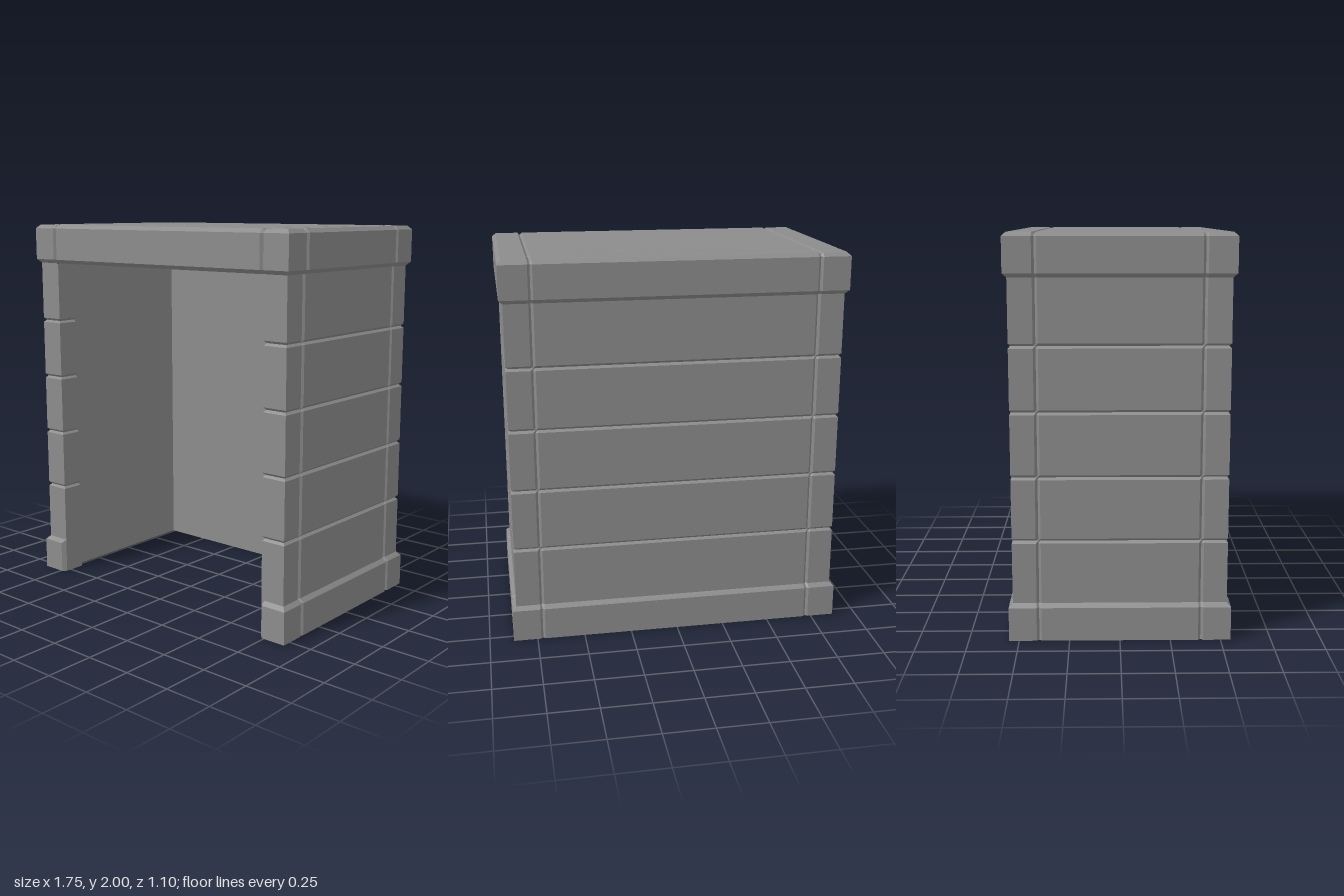
import * as THREE from 'three';

const HX = 0.855, HZ = 0.53;       // half size of the wall body
const GX = 0.72, GZ = 0.4;         // joint positions; GX is also the inner side of the front posts
const IX = 0.76, IZ = -0.435;      // inner faces of the side walls and the back wall
const G = 0.012;                   // joint depth and half width
const LIP = 0.02;                  // overhang of plinth and roof
const EAVE = 1.79, CEILING = 1.88, TOP = 2;

// Full outline with V joints, pushed out by o; starts on the front, runs anticlockwise.
// With a drop, the joints are cut downwards instead of inwards.
function outline(o, y, drop = 0) {
  const n = drop ? o : Math.max(o - G, -G);
  const run = (g) => [[-g - G, o], [-g, n], [-g + G, o], [g - G, o], [g, n], [g + G, o]];
  const yOf = (i) => (i === 1 || i === 4 ? y - drop : y);
  const half = [
    ...run(GX).map(([x, d], i) => [x, yOf(i), HZ + d]),
    [HX + o, y, HZ + o],
    ...run(GZ).map(([z, d], i) => [HX + d, yOf(i), -z]),
    [HX + o, y, -HZ - o],
  ];
  return [...half, ...half.map(([x, yy, z]) => [-x, yy, -z])];
}

// U-shaped outline of the walls; front posts stand proud of the recessed inner faces.
function wallOutline(o, y) {
  const m = Math.min(o, 0);
  const jamb = [
    [-GX - LIP, y, HZ + o], [-GX + m, y, HZ + m], [-GX + m, y, GZ + G],
    [-IX, y, GZ + G], [-IX, y, IZ],
  ];
  const mirrored = jamb.map(([x, yy, z]) => [-x, yy, z]).reverse();
  return [...outline(o, y).slice(6), ...jamb, ...mirrored];
}

function quad(out, a, b, c, d) {
  out.push(...a, ...b, ...c, ...a, ...c, ...d);
}

// Join successive rings with quads.
function loft(out, rings) {
  for (let r = 0; r < rings.length - 1; r++) {
    const a = rings[r], b = rings[r + 1];
    a.forEach((p, i) => {
      const k = (i + 1) % a.length;
      quad(out, p, a[k], b[k], b[i]);
    });
  }
}

// Close a ring with a downward face, optionally around a hole.
function closeBelow(out, ring, hole = []) {
  const flat = (pts) => pts.map(([x, , z]) => new THREE.Vector2(x, -z));
  const all = [...ring, ...hole];
  const holes = hole.length ? [flat(hole)] : [];
  for (const [a, b, c] of THREE.ShapeUtils.triangulateShape(flat(ring), holes)) {
    out.push(...all[a], ...all[c], ...all[b]);
  }
}

function part(name, positions, material) {
  const geo = new THREE.BufferGeometry();
  geo.setAttribute('position', new THREE.Float32BufferAttribute(positions, 3));
  geo.computeVertexNormals();
  const mesh = new THREE.Mesh(geo, material);
  mesh.name = name;
  return mesh;
}

export function createModel() {
  const group = new THREE.Group();
  group.name = 'openPanelledShelter';
  const material = new THREE.MeshStandardMaterial({ color: 0x8c8c8c, flatShading: true });

  // Plinth with a sloped upper edge
  const plinth = [];
  const foot = [[0, LIP], [0.17, LIP], [0.19, 0]].map(([y, o]) => wallOutline(o, y));
  loft(plinth, foot);
  closeBelow(plinth, foot[0]);
  group.add(part('plinth', plinth, material));

  // Walls with horizontal joints between the courses
  const walls = [];
  const levels = [[0.19, 0]];
  for (const y of [0.508, 0.828, 1.148, 1.468]) levels.push([y - G, 0], [y, -G], [y + G, 0]);
  levels.push([EAVE, 0]);
  loft(walls, levels.map(([y, o]) => wallOutline(o, y)));
  group.add(part('walls', walls, material));

  // Roof slab with bevelled edges
  const roof = [];
  const slab = [[EAVE, 0], [EAVE + LIP, LIP], [TOP - LIP, LIP]].map(([y, o]) => outline(o, y));
  slab.push(outline(0, TOP, G));
  loft(roof, slab);

  // Recessed ceiling behind the lintel
  const recess = (y) => [[-IX, y, GZ + G], [-IX, y, IZ], [IX, y, IZ], [IX, y, GZ + G]];
  closeBelow(roof, slab[0], recess(EAVE));
  loft(roof, [recess(EAVE), recess(CEILING)]);
  closeBelow(roof, recess(CEILING).reverse());

  // Roof surface: a grid dipping along the joint lines
  const lines = (h, g) => [-h, -g - G, -g, -g + G, g - G, g, g + G, h];
  const xs = lines(HX, GX), zs = lines(HZ, GZ);
  const joint = (i) => i === 2 || i === 5;
  const at = (i, j) => [xs[i], joint(i) || joint(j) ? TOP - G : TOP, zs[j]];
  for (let i = 0; i < 7; i++) {
    for (let j = 0; j < 7; j++) quad(roof, at(i, j), at(i, j + 1), at(i + 1, j + 1), at(i + 1, j));
  }
  group.add(part('roof', roof, material));

  return group;
}
